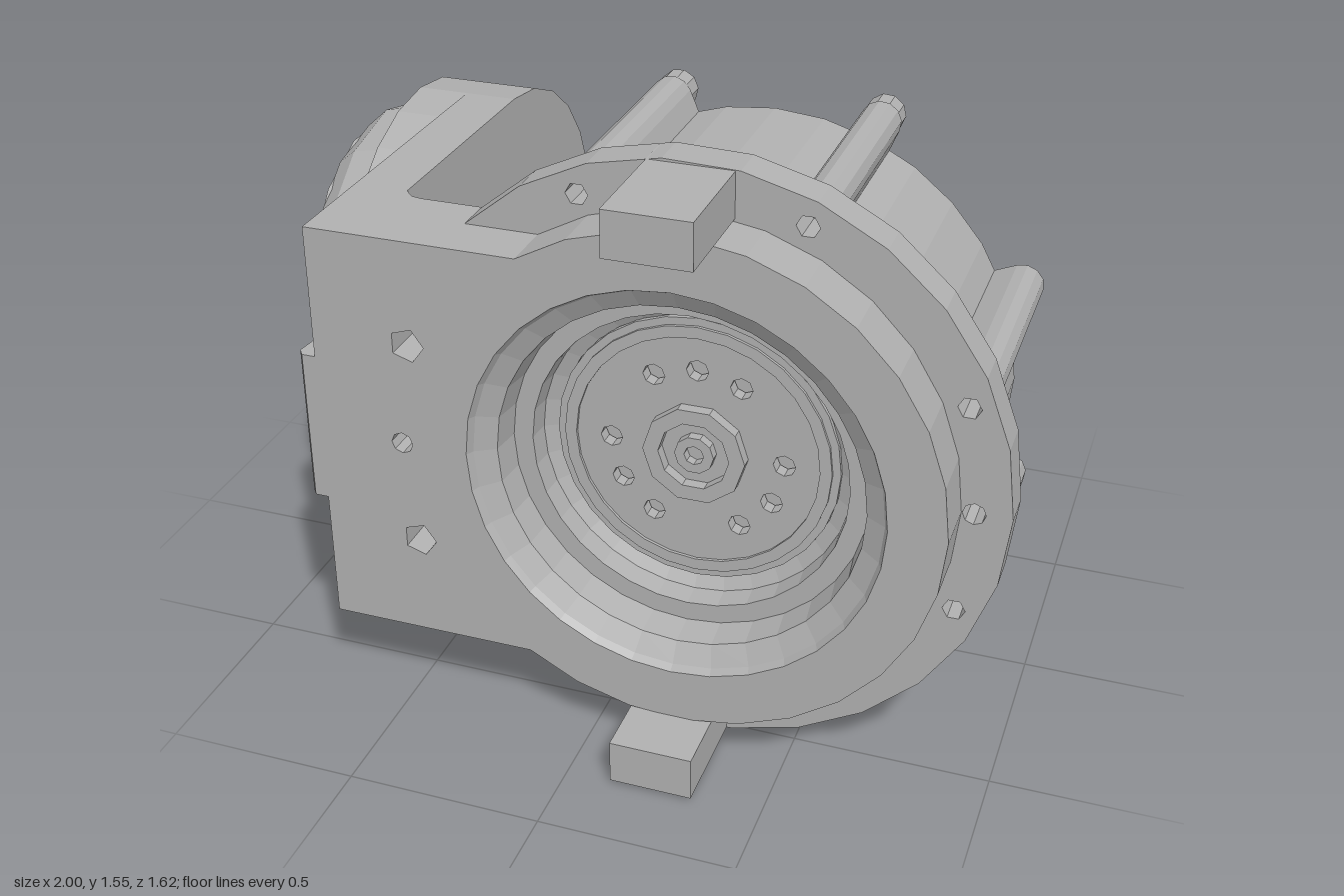
import * as THREE from 'three';

const grey = new THREE.MeshStandardMaterial({ color: 0xb0b0b0, side: THREE.DoubleSide });
grey.name = 'cast grey metal';

const polar = (r, a, cx = 0, cy = 0) => new THREE.Vector2(cx + r * Math.cos(a), cy + r * Math.sin(a));
const ngon = (r, n, cx = 0, cy = 0) =>
  Array.from({ length: n }, (_, i) => polar(r, (i / n) * Math.PI * 2, cx, cy));

// Faceted normals
function facet(g) {
  const f = g.index ? g.toNonIndexed() : g;
  f.computeVertexNormals();
  return f;
}

function add(parent, name, geometry) {
  const m = new THREE.Mesh(facet(geometry), grey);
  m.name = name;
  parent.add(m);
  return m;
}

// Prism along z between z0 and z1, with polygonal holes
function prism(points, z0, z1, holes = []) {
  const s = new THREE.Shape(points);
  holes.forEach(h => s.holes.push(new THREE.Path(h)));
  return new THREE.ExtrudeGeometry(s, { depth: z1 - z0, bevelEnabled: false }).translate(0, 0, z0);
}

// Prism along x: outline given as (z, y), from x0 to x1
function prismX(points, x0, x1, holes = []) {
  return prism(points, 0, x1 - x0, holes).rotateY(-Math.PI / 2).translate(x1, 0, 0);
}

// Lathe about z from [radius, z] pairs
function latheZ(profile, n) {
  return new THREE.LatheGeometry(profile.map(p => new THREE.Vector2(...p)), n).rotateX(Math.PI / 2);
}

function box(x0, x1, y0, y1, z0, z1) {
  return new THREE.BoxGeometry(x1 - x0, y1 - y0, z1 - z0)
    .translate((x0 + x1) / 2, (y0 + y1) / 2, (z0 + z1) / 2);
}

// Disc merged with the flat bracket reaching to the left
function plateOutline(r, n) {
  const a = Math.PI - Math.asin(0.545 / r);
  const pts = [new THREE.Vector2(-0.78, -0.545)];
  for (let i = 0; i <= n; i++) pts.push(polar(r, -a + (2 * a * i) / n));
  pts.push(new THREE.Vector2(-0.78, 0.545));
  return pts;
}

function buildMotor() {
  const motor = new THREE.Group();
  motor.name = 'motor';
  motor.position.x = 0.22;
  const boltAngles = Array.from({ length: 8 }, (_, i) => Math.PI / 8 + (i * Math.PI) / 4);
  const bolts = boltAngles.map(a => polar(0.715, a));
  const isLeft = p => p.x < -0.5;

  // Mounting flange and raised front ring
  const leftHoles = [...bolts.filter(isLeft).map(p => ngon(0.045, 5, p.x, p.y)), ngon(0.028, 8, -0.69, 0)];
  const flangeHoles = bolts.filter(p => !isLeft(p)).map(p => ngon(0.028, 6, p.x, p.y));
  add(motor, 'mountingFlange', prism(plateOutline(0.78, 20), 0.42, 0.52,
    [ngon(0.45, 32), ngon(0.028, 8, 0.69, 0), ...flangeHoles, ...leftHoles]));
  add(motor, 'frontRing', prism(plateOutline(0.66, 20), 0.52, 0.66, [ngon(0.52, 32), ...leftHoles]));

  // Locating tabs above and below
  for (const s of [1, -1]) {
    add(motor, 'locatingTab', box(-0.105, 0.105, s > 0 ? 0.655 : -0.77, s > 0 ? 0.77 : -0.655, 0.42, 0.81));
  }

  // Stepped recess wall
  add(motor, 'recessWall', latheZ([[0.52, 0.66], [0.51, 0.64], [0.46, 0.61], [0.45, 0.53],
    [0.40, 0.53], [0.395, 0.47], [0.36, 0.45], [0.36, 0.42]], 32));

  // Output rotor with its ring of holes
  const rotorHoles = [0, 60, 90, 120, 180, 210, 240, 300, 330]
    .map(d => polar(0.22, THREE.MathUtils.degToRad(d)))
    .map(p => ngon(0.028, 8, p.x, p.y));
  add(motor, 'outputRotor', prism(ngon(0.36, 28), 0.425, 0.46, rotorHoles));
  add(motor, 'rotorStep', prism(ngon(0.34, 28), 0.46, 0.468, [ngon(0.31, 28)]));
  add(motor, 'rotorCollar', prism(ngon(0.13, 10), 0.46, 0.49, [ngon(0.09, 10)]));
  add(motor, 'rotorShaft', prism(ngon(0.05, 10), 0.46, 0.485, [ngon(0.025, 8)]));

  // Drum with bolt ribs
  add(motor, 'drum', prism(ngon(0.66, 32), -0.15, 0.42));
  bolts.forEach((p, i) => {
    const rib = new THREE.Group();
    rib.name = 'boltRib';
    rib.position.set(p.x, p.y, 0);
    rib.rotation.z = boltAngles[i];
    motor.add(rib);
    add(rib, 'ribColumn', prism(ngon(0.052, 12), -0.15, 0.42));
    add(rib, 'ribWeb', box(-0.1, 0, -0.052, 0.052, -0.15, 0.42));
    const headed = Math.abs(p.y) > 0.5;
    const r = headed ? 0.05 : 0.032;
    add(rib, 'boltHead', prism(ngon(r, 10), headed ? -0.21 : -0.162, -0.15, [ngon(r * 0.5, 6)]));
  });

  // Rear cap, its lower band notched for the connectors
  const R = 0.545;
  const a0 = Math.asin(0.2 / R);
  const band = [];
  for (let i = 0; i <= 30; i++) band.push(polar(R, a0 + ((Math.PI * 2 - 2 * a0) * i) / 30));
  band.push(new THREE.Vector2(0.41, -0.2), new THREE.Vector2(0.41, 0.2));
  add(motor, 'rearBand', prism(band, -0.28, -0.15));
  add(motor, 'rearCap', prism(ngon(R, 36), -0.35, -0.28));
  add(motor, 'rearLid', prism(ngon(0.535, 36), -0.36, -0.35));
  add(motor, 'connectorBase', box(0.4, 0.49, -0.19, 0.19, -0.25, -0.15));
  for (const y of [-0.1, 0.1]) {
    const socket = [[-0.07, -0.05], [0.07, -0.05], [0.07, 0.05], [-0.07, 0.05]]
      .map(([z, v]) => new THREE.Vector2(z - 0.215, v + y));
    const mouth = [[-0.05, -0.03], [0.05, -0.03], [0.05, 0.03], [-0.05, 0.03]]
      .map(([z, v]) => new THREE.Vector2(z - 0.215, v + y));
    add(motor, 'connectorSocket', prismX(socket, 0.45, 0.515, [mouth]));
  }

  // Lid seam and lid screws
  const seam = add(motor, 'lidSeam', box(-0.012, 0.012, -0.52, 0.52, -0.366, -0.36));
  seam.rotation.z = -0.33;
  for (const x of [-0.17, 0.17]) for (const y of [-0.475, 0.475]) {
    add(motor, 'lidScrew', prism(ngon(0.028, 8, x, y), -0.367, -0.36, [ngon(0.014, 6, x, y)]));
  }
  return motor;
}

function buildArm() {
  const arm = new THREE.Group();
  arm.name = 'sideArm';
  const cz = -0.27;
  const holes = Array.from({ length: 6 }, (_, i) => polar(0.22, (i * Math.PI) / 3, cz, 0))
    .map(p => ngon(0.033, 6, p.x, p.y));

  // Side plate with a rounded rear end
  const outline = [new THREE.Vector2(0.66, 0.545)];
  for (let i = 0; i <= 12; i++) outline.push(polar(0.545, Math.PI / 2 + (Math.PI * i) / 12, cz, 0));
  outline.push(new THREE.Vector2(0.66, -0.545));
  add(arm, 'sidePlate', prismX(outline, -0.69, -0.55, holes));

  // Inner corner fillet
  const fillet = [[-0.56, 0.43], [-0.56, 0.37], [-0.545, 0.395], [-0.525, 0.415], [-0.5, 0.42], [-0.5, 0.43]]
    .map(([x, z]) => new THREE.Vector2(x, -z));
  add(arm, 'cornerFillet', prism(fillet, -0.545, 0.545).rotateX(-Math.PI / 2));

  // Pivot hub: disc, tapered side and drilled end
  add(arm, 'hubDisc', prismX(ngon(0.545, 24, cz, 0), -0.83, -0.69, holes));
  add(arm, 'hubCore', prismX(ngon(0.41, 14, cz, 0), -1, -0.83, holes));
  const taper = new THREE.LatheGeometry(
    [[0.41, 1], [0.465, 0.94], [0.49, 0.83]].map(([r, y]) => new THREE.Vector2(r, y)), 14);
  add(arm, 'hubTaper', taper.rotateY(Math.PI / 2).rotateZ(Math.PI / 2).translate(0, 0, cz));

  // Side lug
  const lug = [[-0.68, 0.26], [-0.695, 0.26], [-0.74, 0.64], [-0.725, 0.66], [-0.68, 0.66]]
    .map(([x, z]) => new THREE.Vector2(x, -z));
  add(arm, 'sideLug', prism(lug, -0.2, 0.2).rotateX(-Math.PI / 2));
  return arm;
}

export function createModel() {
  const model = new THREE.Group();
  model.name = 'actuatorWithBracket';
  const body = new THREE.Group();
  body.name = 'assembly';
  body.position.y = 0.77;
  body.add(buildMotor(), buildArm());
  model.add(body);
  return model;
}
